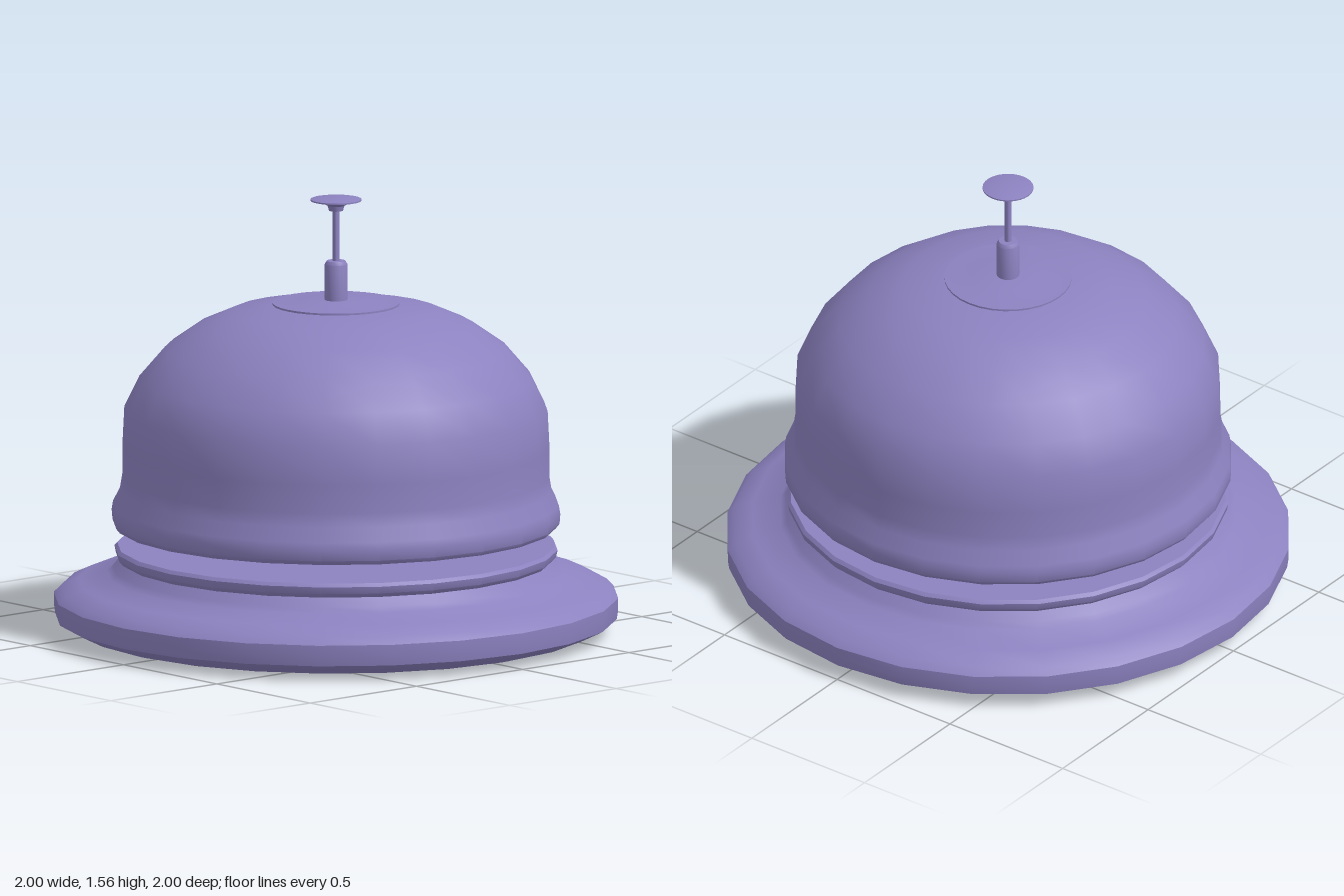
import * as THREE from 'three';
import { toCreasedNormals } from 'three/addons/utils/BufferGeometryUtils.js';

const material = new THREE.MeshStandardMaterial({ color: 0x8c82c0 });

// Turns a [radius, height] profile around the y axis, keeping sharp edges sharp
function turned(name, profile, sides, crease = 0.6) {
  const points = profile.map(([r, y]) => new THREE.Vector2(r, y));
  const geometry = toCreasedNormals(new THREE.LatheGeometry(points, sides), crease);
  const mesh = new THREE.Mesh(geometry, material);
  mesh.name = name;
  return mesh;
}

export function createModel() {
  const group = new THREE.Group();
  group.name = 'deskBell';

  // Wide foot with a rounded edge, a waist and a raised top plate
  group.add(turned('base', [
    [0, 0], [0.89, 0.01], [0.92, 0.018], [0.995, 0.055], [1, 0.09], [1, 0.13],
    [0.975, 0.155], [0.91, 0.185], [0.81, 0.21], [0.79, 0.23], [0.765, 0.26],
    [0.78, 0.275], [0.785, 0.3], [0.775, 0.312], [0, 0.312],
  ], 24));

  // Hub between the base and the bell, with a post reaching the crown
  group.add(turned('hub', [
    [0.205, 0.31], [0.21, 0.325], [0.2, 0.345], [0.18, 0.355], [0.15, 0.36],
    [0.148, 0.4], [0.04, 0.4], [0.04, 1.16],
  ], 32));

  // Hollow bell: inner wall down to the flared rim, then the outer wall up
  group.add(turned('bell', [
    [0, 1.15], [0.36, 1.12], [0.48, 1.07], [0.59, 0.99], [0.685, 0.89],
    [0.73, 0.79], [0.735, 0.55], [0.755, 0.47], [0.76, 0.38],
    [0.78, 0.38], [0.792, 0.395], [0.795, 0.43], [0.79, 0.46], [0.765, 0.51],
    [0.757, 0.56], [0.757, 0.66], [0.75, 0.8], [0.697, 0.91], [0.606, 1.016],
    [0.492, 1.096], [0.369, 1.15], [0.222, 1.176], [0, 1.18],
  ], 24));

  // Thin washer and collar on the crown
  group.add(turned('washer', [
    [0.225, 1.172], [0.225, 1.182], [0.125, 1.188], [0.1, 1.192], [0, 1.192],
  ], 32));

  // Sleeve that guides the plunger
  group.add(turned('sleeve', [
    [0.04, 1.18], [0.04, 1.32], [0.033, 1.332], [0, 1.332],
  ], 20));

  // Plunger rod
  group.add(turned('plungerRod', [[0.012, 1.32], [0.012, 1.53]], 12));

  // Push button with a small neck below its dish
  group.add(turned('button', [
    [0, 1.51], [0.025, 1.512], [0.03, 1.53], [0.05, 1.54], [0.09, 1.548],
    [0.09, 1.553], [0.06, 1.559], [0, 1.56],
  ], 32));

  return group;
}
